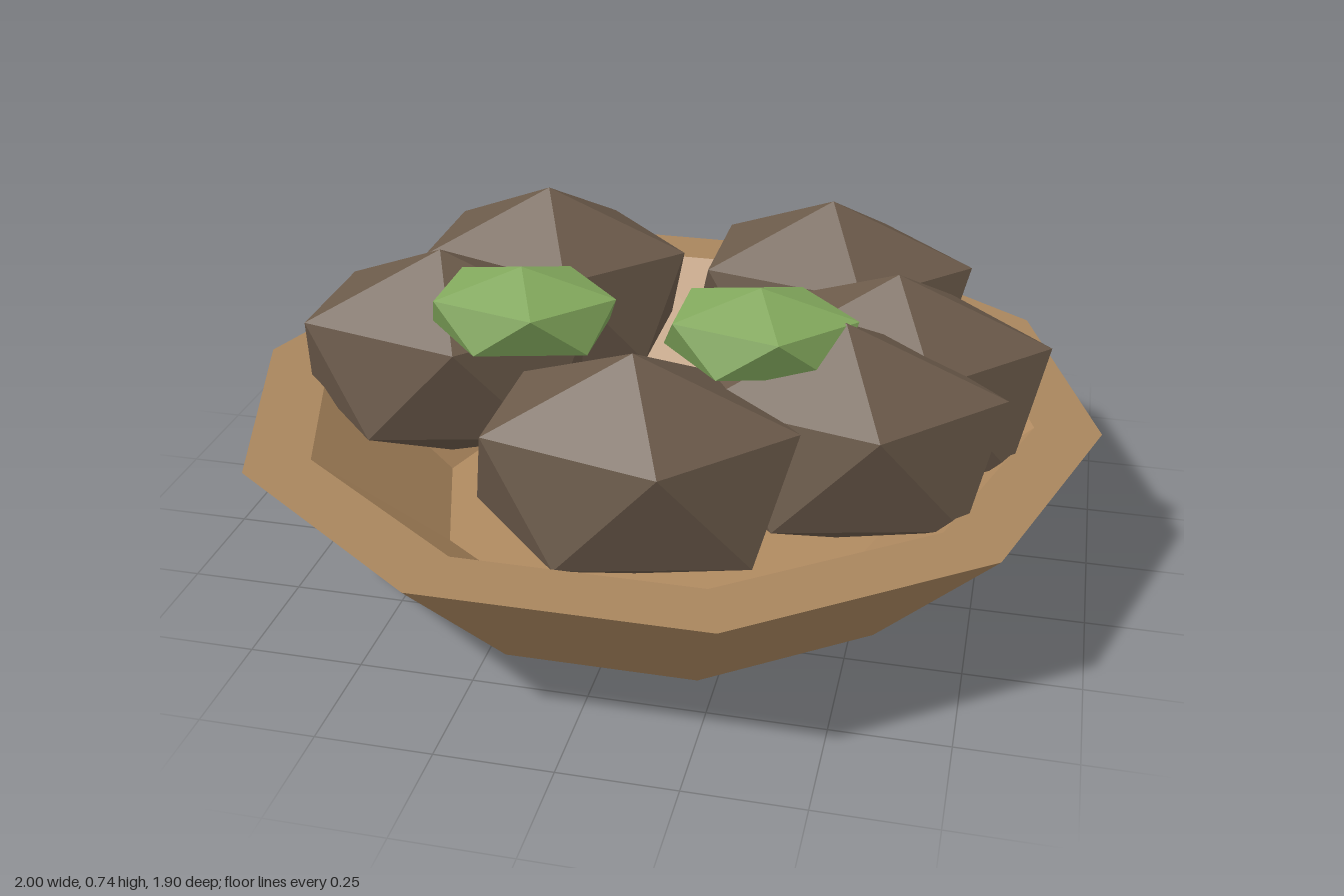
import * as THREE from 'three';

const material = (name, color) => {
  const m = new THREE.MeshStandardMaterial({ color, flatShading: true });
  m.name = name;
  return m;
};

// Ten-sided surface turned from a radius/height profile, with a corner on +x
function turned(name, profile, mat) {
  const points = profile.map(([r, y]) => new THREE.Vector2(r, y));
  const mesh = new THREE.Mesh(new THREE.LatheGeometry(points, 10, Math.PI / 2), mat);
  mesh.name = name;
  return mesh;
}

// Stretched icosahedron standing on a corner, upper ring pointing to +x
function nugget(name, radii, position, mat) {
  const geometry = new THREE.IcosahedronGeometry(1, 0);
  geometry.rotateZ(-Math.atan(2 / (1 + Math.sqrt(5))));
  geometry.scale(...radii);
  const mesh = new THREE.Mesh(geometry, mat);
  mesh.position.set(...position);
  mesh.name = name;
  return mesh;
}

export function createModel() {
  const group = new THREE.Group();
  group.name = 'bowlOfFood';

  const wood = material('wood', 0xa8855d);
  const innerWood = material('inner wood', 0xb08a60);
  const brown = material('dark brown', 0x6b5a4a);
  const green = material('leaf green', 0x82a85c);

  // Bowl: outside with flat rim, then the hollow
  group.add(turned('bowlOutside', [[0, 0], [0.68, 0], [1, 0.34], [0.85, 0.34]], wood));
  group.add(turned('bowlInside', [[0.85, 0.34], [0.55, 0.06], [0, 0.06]], innerWood));

  // Brown chunks lying in a ring
  const chunks = [
    [-0.385, -0.36], [-0.515, 0.085], [0.32, -0.42],
    [0.525, 0], [0.045, 0.52], [0.445, 0.28],
  ];
  chunks.forEach(([x, z], i) =>
    group.add(nugget(`chunk${i + 1}`, [0.387, 0.261, 0.291], [x, 0.424, z], brown)));

  // Green garnish on top
  [-0.265, 0.26].forEach((x, i) =>
    group.add(nugget(`garnish${i + 1}`, [0.235, 0.103, 0.183], [x, 0.635, 0.26], green)));

  return group;
}
